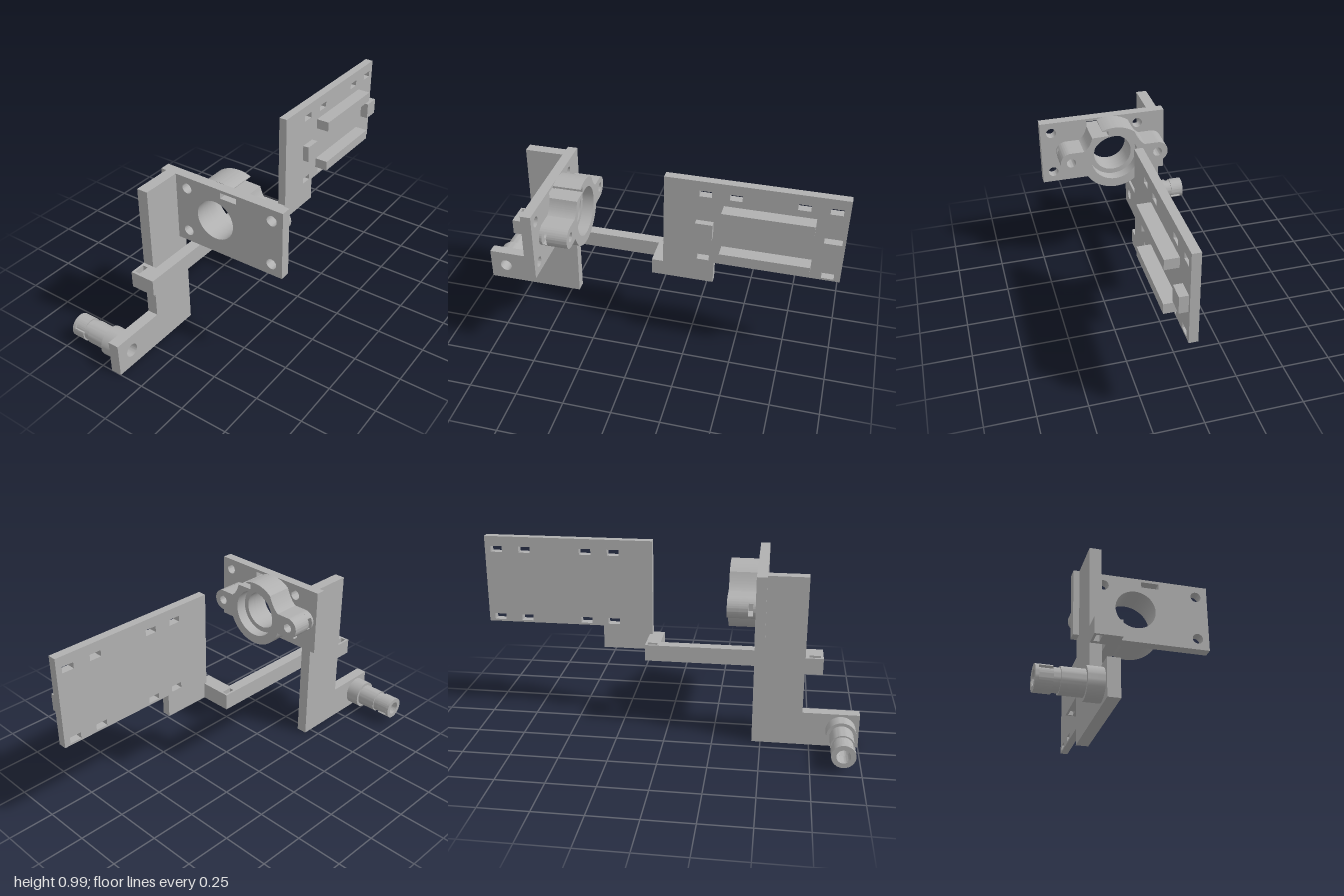
import * as THREE from 'three';
import { toCreasedNormals } from 'three/addons/utils/BufferGeometryUtils.js';

const grey = new THREE.MeshStandardMaterial({ color: 0xb0b0b0 });
grey.name = 'plain grey';

function addMesh(parent, name, geometry) {
  const mesh = new THREE.Mesh(geometry, grey);
  mesh.name = name;
  parent.add(mesh);
  return mesh;
}

// Box given by its limits
function addBox(parent, name, x0, x1, y0, y1, z0, z1) {
  const box = new THREE.BoxGeometry(x1 - x0, y1 - y0, z1 - z0);
  addMesh(parent, name, box).position.set((x0 + x1) / 2, (y0 + y1) / 2, (z0 + z1) / 2);
}

function polygon(points) {
  return new THREE.Shape(points.map(([x, y]) => new THREE.Vector2(x, y)));
}

const rect = (x0, x1, y0, y1) => polygon([[x0, y0], [x1, y0], [x1, y1], [x0, y1]]);

function circle(x, y, r) {
  return new THREE.Shape().absarc(x, y, r, 0, Math.PI * 2, false);
}

function extrude(shape, depth) {
  const geo = new THREE.ExtrudeGeometry(shape, { depth, bevelEnabled: false, curveSegments: 24 });
  return toCreasedNormals(geo, 0.5);
}

// Plate across x: the shape is drawn with -z to the right and y up
function sidePlate(shape, x0, x1) {
  return extrude(shape, x1 - x0).rotateY(Math.PI / 2).translate(x0, 0, 0);
}

// Outline of the clamp ring with two ears, optionally with pockets in the ear ends
function clampOutline(pocket) {
  const R = 0.18, ear = 0.24, er = 0.058, side = Math.asin(er / R);
  const s = new THREE.Shape();
  const earEnd = (sx) => {
    const base = sx > 0 ? 0 : Math.PI;
    s.lineTo(sx * ear, -sx * er);
    if (pocket) {
      const a = Math.asin(0.033 / er);
      s.absarc(sx * ear, 0, er, base - Math.PI / 2, base - a, false);
      s.lineTo(sx * 0.205, -sx * 0.033);
      s.lineTo(sx * 0.205, sx * 0.033);
      s.absarc(sx * ear, 0, er, base + a, base + Math.PI / 2, false);
    } else {
      s.absarc(sx * ear, 0, er, base - Math.PI / 2, base + Math.PI / 2, false);
    }
  };
  s.absarc(0, 0, R, Math.PI + side, Math.PI * 2 - side, false);
  earEnd(1);
  s.lineTo(0.168, er);
  s.quadraticCurveTo(0.135, 0.08, 0.122, 0.133);
  // Notch behind the plate slot
  s.lineTo(0.032, 0.135);
  s.lineTo(0.032, 0.163);
  s.lineTo(0.065, 0.163);
  s.absarc(0, 0, R, Math.acos(0.065 / R), Math.PI - Math.acos(0.11 / R), false);
  s.quadraticCurveTo(-0.135, 0.08, -0.168, er);
  earEnd(-1);
  s.lineTo(-R * Math.cos(side), -er);
  return s;
}

function createClamp() {
  const clamp = new THREE.Group();
  clamp.name = 'clampRing';
  // [z start, z end, bore radius, pocketed ears]
  const layers = [[0.31, 0.37, 0.13, false], [0.37, 0.415, 0.103, false],
    [0.415, 0.44, 0.103, true], [0.44, 0.455, 0.103, false]];
  for (const [z0, z1, bore, pocket] of layers) {
    const s = clampOutline(pocket);
    s.holes.push(circle(0, 0, bore));
    if (!pocket) s.holes.push(circle(-0.24, 0, 0.025), circle(0.24, 0, 0.025));
    addMesh(clamp, 'clampLayer', extrude(s, z1 - z0)).position.z = z0;
  }
  clamp.position.set(0.095, 0.722, 0);
  return clamp;
}

function createConnector() {
  const connector = new THREE.Group();
  connector.name = 'connector';
  // Stepped hollow barrel, turned about the x axis
  const profile = [[0.035, 0.19], [0.076, 0.19], [0.076, 0.265], [0.06, 0.265], [0.06, 0.37],
    [0.053, 0.37], [0.053, 0.4], [0.035, 0.4], [0.035, 0.19]].map(([r, y]) => new THREE.Vector2(r, y));
  const barrel = new THREE.LatheGeometry(profile, 48).rotateZ(Math.PI / 2);
  addMesh(connector, 'barrel', toCreasedNormals(barrel, 0.5));
  // End collar with two opposite keyways
  const collar = new THREE.Shape();
  const a0 = (218 * Math.PI) / 180, a1 = (242 * Math.PI) / 180;
  for (const turn of [0, Math.PI]) {
    collar.absarc(0, 0, 0.06, a1 - Math.PI * 2 - turn * -1, a0 - Math.PI + turn - Math.PI + Math.PI, false);
    collar.absarc(0, 0, 0.049, a0 + turn - Math.PI, a1 + turn - Math.PI, false);
  }
  collar.holes.push(circle(0, 0, 0.035));
  // Mirrored in z so that one keyway lies on the upper front
  const keyed = sidePlate(collar, -0.46, -0.4).rotateX(Math.PI / 2 + (10 * Math.PI) / 180);
  addMesh(connector, 'keyedCollar', keyed);
  const tip = circle(0, 0, 0.06);
  tip.holes.push(circle(0, 0, 0.035));
  addMesh(connector, 'collarTip', sidePlate(tip, -0.475, -0.46));
  connector.position.set(0, 0.092, 0.908);
  return connector;
}

export function createModel() {
  const model = new THREE.Group();
  model.name = 'bracketAssembly';

  // Upright side plate with a foot
  const upright = polygon([[-1, 0], [-0.455, 0], [-0.455, 0.9], [-0.71, 0.9], [-0.71, 0.18], [-1, 0.18]]);
  upright.holes.push(circle(-0.908, 0.092, 0.035));
  addMesh(model, 'uprightPlate', sidePlate(upright, -0.19, -0.132));
  model.add(createConnector());

  // Front plate with bore, four screw holes and a slot
  const front = rect(-0.22, 0.472, 0.542, 0.9);
  front.holes.push(circle(0.095, 0.722, 0.103), rect(0.127, 0.217, 0.855, 0.885));
  for (const x of [-0.068, 0.413]) {
    for (const y of [0.602, 0.84]) front.holes.push(circle(x, y, 0.027));
  }
  addMesh(model, 'frontPlate', extrude(front, 0.052)).position.z = 0.453;
  model.add(createClamp());

  // Cranked arm, drawn with -z up, with a slot at each end
  const arm = polygon([[-0.19, -0.8], [-0.058, -0.8], [-0.058, 0.04], [0.094, 0.04], [0.094, 0.115],
    [-0.115, 0.115], [-0.115, -0.71], [-0.19, -0.71]]);
  arm.holes.push(rect(-0.103, -0.077, 0.053, 0.105), rect(-0.178, -0.15, -0.787, -0.73));
  addMesh(model, 'crankedArm', extrude(arm, 0.086).rotateX(-Math.PI / 2)).position.y = 0.394;

  // Slotted board with a lower tab
  const board = polygon([[0.1, 0.394], [0.365, 0.394], [0.365, 0.518], [1, 0.518], [1, 0.992], [0.1, 0.992]]);
  for (const u of [0.308, 0.458, 0.786, 0.938]) {
    for (const y of [0.545, 0.923]) board.holes.push(rect(u - 0.031, u + 0.031, y - 0.016, y + 0.016));
  }
  addMesh(model, 'board', sidePlate(board, 0.05, 0.094));

  // Rails and blocks on the board
  for (const y of [0.603, 0.843]) addBox(model, 'rail', 0.09, 0.165, y - 0.027, y + 0.027, -0.85, -0.4);
  addBox(model, 'frontBlock', 0.09, 0.128, 0.68, 0.768, -0.355, -0.267);
  addBox(model, 'rearBlock', 0.09, 0.138, 0.68, 0.768, -0.984, -0.897);
  return model;
}
